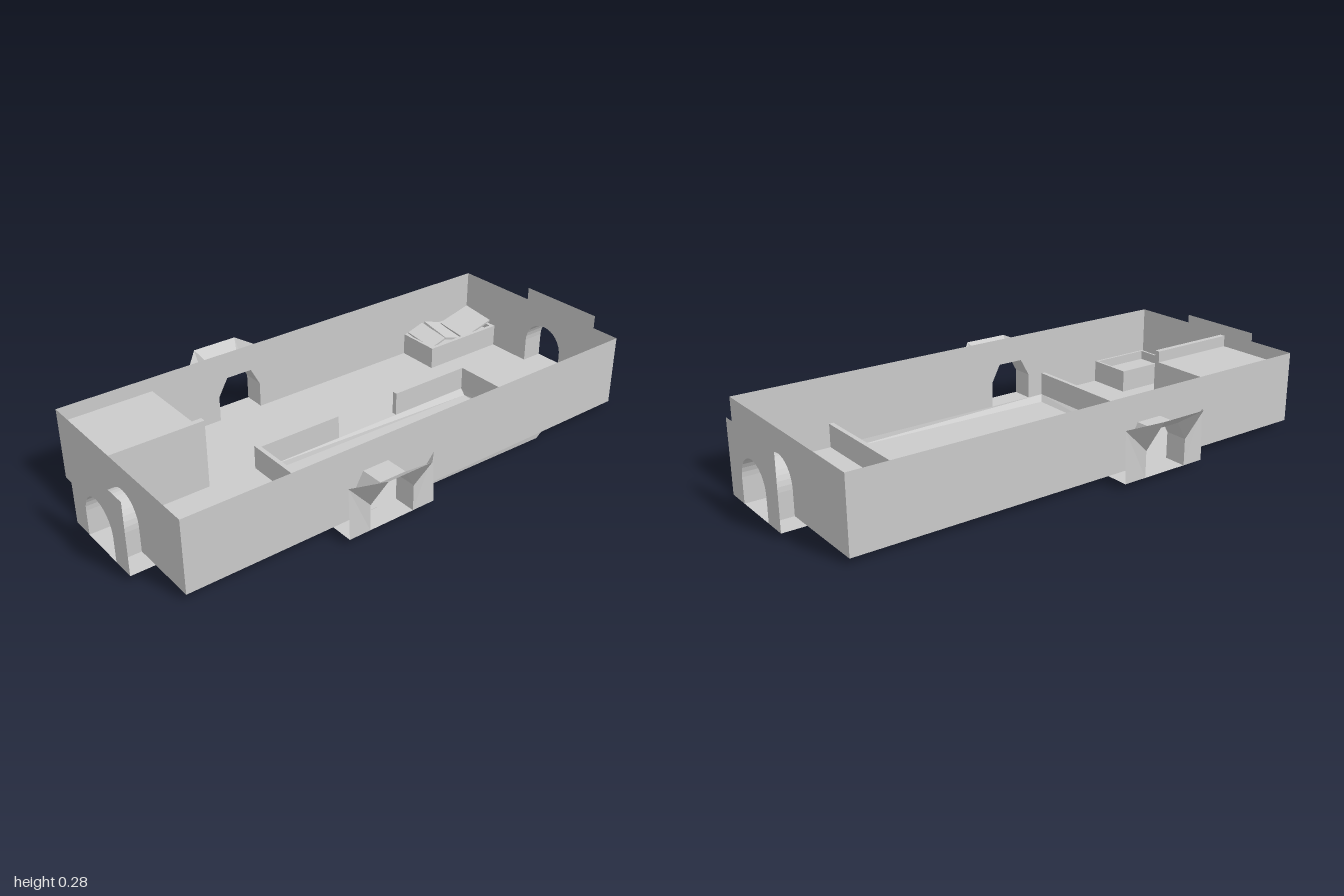
import * as THREE from 'three';

const FLOOR = 0.02, TOP = 0.282, HX = 0.39, HZ = 0.915;
const mat = new THREE.MeshStandardMaterial({ color: 0xcccccc, side: THREE.DoubleSide, flatShading: true });

function add(parent, name, geo) {
  const m = new THREE.Mesh(geo, mat);
  m.name = name;
  parent.add(m);
  return m;
}

// Box from its minimum and maximum corners
function block(parent, name, [x0, y0, z0], [x1, y1, z1]) {
  const g = new THREE.BoxGeometry(x1 - x0, y1 - y0, z1 - z0);
  g.translate((x0 + x1) / 2, (y0 + y1) / 2, (z0 + z1) / 2);
  return add(parent, name, g);
}

const flat = pts => new THREE.ShapeGeometry(new THREE.Shape(pts.map(p => new THREE.Vector2(p[0], p[1]))));

// Horizontal sheet from [x, z] points
const ground = (pts, y) => flat(pts.map(([x, z]) => [x, -z])).rotateX(-Math.PI / 2).translate(0, y, 0);

// Upright sheet from a to b, with a doorway cut up from its foot
const sheet = (a, b, door) => flat([[a, FLOOR], ...door, [b, FLOOR], [b, TOP], [a, TOP]]);

// Surface joining two rows of points
function strip(A, B) {
  const v = [], n = A.length - 1;
  for (let i = 0; i < n; i++) {
    const [a, b, c, d] = [A[i], A[i + 1], B[i + 1], B[i]];
    if (i < n / 2) v.push(...a, ...b, ...d, ...b, ...c, ...d);
    else v.push(...a, ...b, ...c, ...a, ...c, ...d);
  }
  const g = new THREE.BufferGeometry();
  g.setAttribute('position', new THREE.Float32BufferAttribute(v, 3));
  g.computeVertexNormals();
  return g;
}

export function createModel() {
  const model = new THREE.Group();
  model.name = 'roofless hall';

  // Doorway profiles: round arch [x, y] and angular side door [z, y]
  const arch = [[-0.046, FLOOR]];
  for (let i = 0; i <= 16; i++) {
    const t = Math.PI * (1 - i / 16);
    arch.push([0.042 + 0.088 * Math.cos(t), 0.109 + 0.088 * Math.sin(t)]);
  }
  arch.push([0.13, FLOOR]);
  const sideDoor = [[0.13, FLOOR], [0.13, 0.115], [0.166, 0.182], [0.267, 0.182], [0.305, 0.115], [0.305, FLOOR]];

  // Floor, cut away for the pool against the +x wall
  const pool = { x0: -0.025, x1: HX, z0: -0.55, z1: 0.37 };
  add(model, 'floor', ground([[-HX, -HZ], [HX, -HZ], [HX, pool.z0], [pool.x0, pool.z0],
    [pool.x0, pool.z1], [HX, pool.z1], [HX, HZ], [-HX, HZ]], FLOOR));

  // End walls with porches: stepped-out panel, arched tunnel and floor
  for (const s of [1, -1]) {
    const end = s > 0 ? 'front' : 'back';
    add(model, end + 'Wall', sheet(-HX, HX, arch).translate(0, 0, s * HZ));
    const porch = new THREE.Group();
    porch.name = end + 'Porch';
    model.add(porch);
    add(porch, 'porchPanel', sheet(-0.13, 0.215, arch).translate(0, 0, s));
    add(porch, 'archTunnel', strip(arch.map(([x, y]) => [x, y, s * HZ]), arch.map(([x, y]) => [x, y, s])));
    add(porch, 'porchFloor', ground([[-0.13, s * HZ], [0.215, s * HZ], [0.215, s], [-0.13, s]], FLOOR));
  }

  // Side walls with hooded doorways
  for (const s of [1, -1]) {
    const side = s > 0 ? 'left' : 'right', px = 0.474;
    add(model, side + 'Wall', sheet(-HZ, HZ, sideDoor).rotateY(-Math.PI / 2).translate(s * HX, 0, 0));
    const door = new THREE.Group();
    door.name = side + 'Doorway';
    model.add(door);
    const inner = sideDoor.map(([z, y]) => [s * px, y, z]);
    const outer = [[px, FLOOR, 0.043], [0.467, 0.203, 0.043], [0.553, 0.24, 0.128],
      [0.553, 0.24, 0.302], [0.467, 0.203, 0.386], [px, FLOOR, 0.386]].map(([x, y, z]) => [s * x, y, z]);
    add(door, 'doorTunnel', strip(sideDoor.map(([z, y]) => [s * HX, y, z]), inner));
    add(door, 'doorHood', strip(outer, inner));
    add(door, 'doorFloor', ground([[s * HX, 0.043], [s * px, 0.043], [s * px, 0.386], [s * HX, 0.386]], FLOOR));
  }

  // Shallow sunken pool with uneven sloping sides
  const basin = new THREE.Group();
  basin.name = 'pool';
  model.add(basin);
  const rim = [[pool.x0, pool.z0], [0.2, pool.z0], [pool.x1, pool.z0], [pool.x1, pool.z1], [pool.x0, pool.z1]];
  const bed = [[-0.005, -0.548], [0.2, -0.532], [0.387, -0.532], [0.363, 0.348], [-0.02, 0.343]];
  const ring = (pts, y) => [...pts, pts[0]].map(([x, z]) => [x, y, z]);
  add(basin, 'poolSides', strip(ring(rim, FLOOR), ring(bed, 0)));
  add(basin, 'poolBed', ground(bed, 0));

  // Low walls around the pool, open in the middle of the long side
  const LOW = 0.108;
  block(model, 'poolWallBack', [-0.045, FLOOR, -0.567], [HX, LOW, -0.55]);
  block(model, 'poolWallFront', [-0.045, FLOOR, 0.37], [HX, LOW, 0.386]);
  block(model, 'poolWallSideBack', [-0.045, FLOOR, -0.55], [-0.026, LOW, -0.222]);
  block(model, 'poolWallSideFront', [-0.045, FLOOR, 0.043], [-0.026, LOW, 0.37]);

  // Raised corner platform with a parapet
  block(model, 'platform', [-HX, FLOOR, 0.567], [-0.065, 0.23, HZ]);
  block(model, 'platformParapet', [-0.065, FLOOR, 0.567], [-0.045, 0.272, HZ]);

  // Open box with a thin rim and a raised bottom
  function trough(name, x0, x1, z0, z1, top, level, t) {
    const g = new THREE.Group();
    g.name = name;
    model.add(g);
    block(g, 'rimSide', [x0, FLOOR, z0], [x0 + t, top, z1]);
    block(g, 'rimSide', [x1 - t, FLOOR, z0], [x1, top, z1]);
    block(g, 'rimEnd', [x0 + t, FLOOR, z0], [x1 - t, top, z0 + t]);
    block(g, 'rimEnd', [x0 + t, FLOOR, z1 - t], [x1 - t, top, z1]);
    block(g, 'filling', [x0 + t, FLOOR, z0 + t], [x1 - t, level, z1 - t]);
    return g;
  }
  trough('cornerBasin', 0.217, HX, 0.65, 0.908, 0.105, 0.07, 0.009);
  const crate = trough('crate', -HX, -0.222, -HZ, -0.573, 0.105, 0.085, 0.014);

  // Loose boards leaning in the crate
  for (const [z, w, tilt] of [[-0.83, 0.15, 0.25], [-0.7, 0.08, -0.3], [-0.62, 0.075, 0.3]]) {
    const board = add(crate, 'board', new THREE.BoxGeometry(0.135, 0.008, w));
    board.position.set(-0.308, 0.115, z);
    board.rotation.set(tilt, 0, -0.15);
  }
  return model;
}
